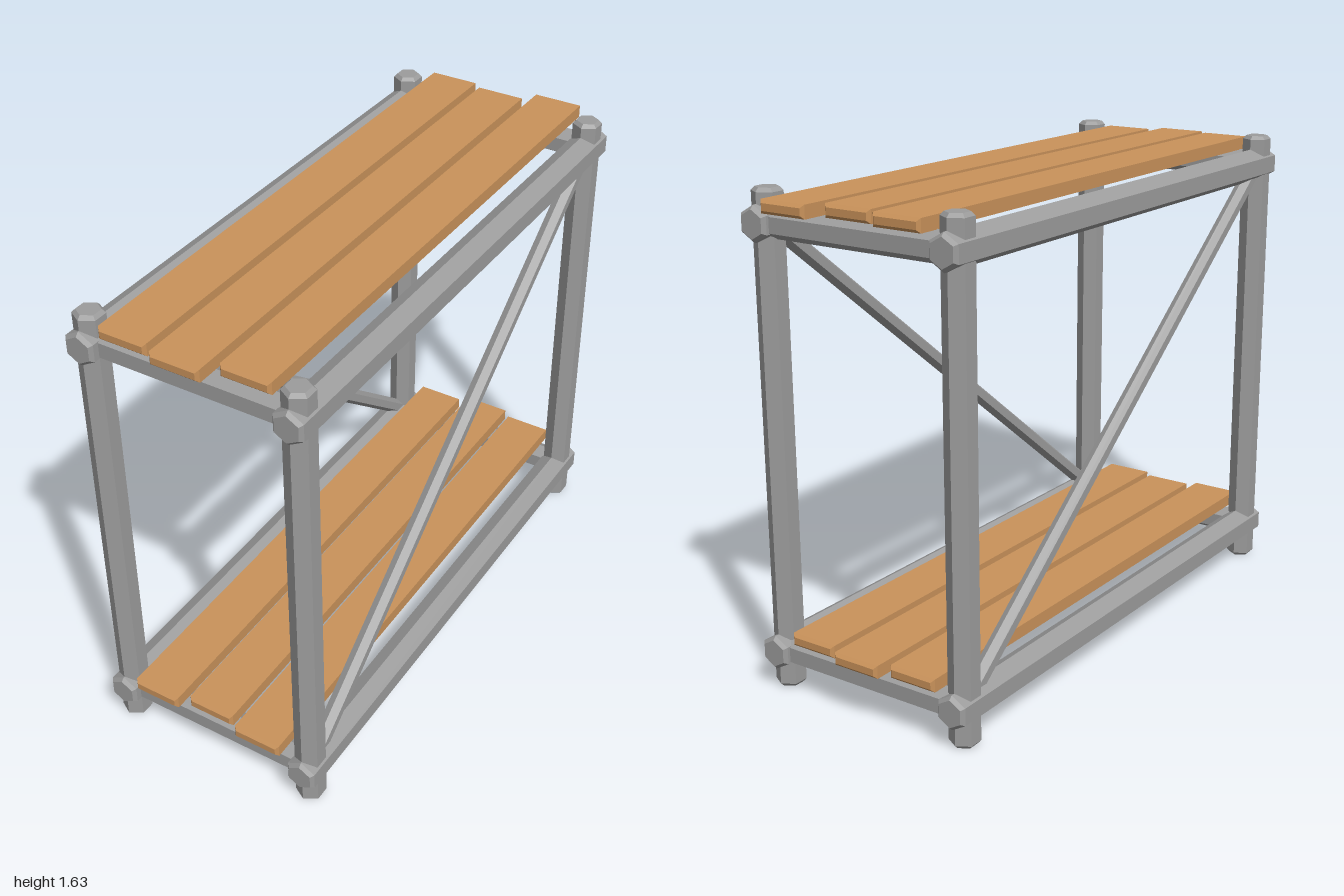
import * as THREE from 'three';

const steel = new THREE.MeshStandardMaterial({ color: 0x9c9c9c });
steel.name = 'grey steel';
const wood = new THREE.MeshStandardMaterial({ color: 0xc9925a });
wood.name = 'orange wood';

const POST_X = 0.355, FRONT_Z = 0.927, BACK_Z = -0.878;
const LEVELS = [0.13, 1.53];
const UP = new THREE.Vector3(0, 1, 0), FRONT = new THREE.Vector3(0, 0, 1);

function facet(geometry) {
  const flat = geometry.toNonIndexed();
  flat.computeVertexNormals();
  return flat;
}

// Hexagonal bar with chamfered ends from a to b; one edge points towards "ridge"
function hexBar(name, a, b, radius, ridge) {
  const start = new THREE.Vector3(...a);
  const dir = new THREE.Vector3(...b).sub(start);
  const length = dir.length(), c = 0.012;
  dir.normalize();
  const profile = [[0, 0], [radius - c, 0], [radius, c], [radius, length - c], [radius - c, length], [0, length]]
    .map(([x, y]) => new THREE.Vector2(x, y));
  const mesh = new THREE.Mesh(facet(new THREE.LatheGeometry(profile, 6)), steel);
  const side = new THREE.Vector3().crossVectors(dir, ridge).normalize();
  const edge = new THREE.Vector3().crossVectors(side, dir);
  mesh.quaternion.setFromRotationMatrix(new THREE.Matrix4().makeBasis(side, dir, edge));
  mesh.position.copy(start);
  mesh.name = name;
  return mesh;
}

// Board with chamfered edges all round
function plank(x, y, z0, length) {
  const c = 0.01, w = 0.17 / 2 - c, h = 0.043 / 2 - c;
  const section = new THREE.Shape([[-w, -h], [w, -h], [w, h], [-w, h]].map(([u, v]) => new THREE.Vector2(u, v)));
  const geometry = new THREE.ExtrudeGeometry(section, {
    depth: length - 2 * c, bevelEnabled: true, bevelSize: c, bevelThickness: c, bevelSegments: 1,
  });
  const mesh = new THREE.Mesh(geometry, wood);
  mesh.position.set(x, y, z0 + c);
  mesh.name = 'plank';
  return mesh;
}

export function createModel() {
  const model = new THREE.Group();
  model.name = 'shelfRack';

  for (const s of [-1, 1]) {
    const x = s * POST_X;
    // Upright posts
    model.add(hexBar('frontPost', [x, 0, FRONT_Z], [x, 1.635, FRONT_Z], 0.05, FRONT));
    model.add(hexBar('backPost', [x, 0, BACK_Z], [x, 1.635, BACK_Z], 0.05, FRONT));
    // Long side rails running past the posts
    for (const y of LEVELS) model.add(hexBar('sideRail', [x, y, -0.953], [x, y, 0.993], 0.058, UP));
    // Diagonal brace, sloping the opposite way on each side
    const [low, high] = s > 0 ? [FRONT_Z, BACK_Z] : [BACK_Z, FRONT_Z];
    model.add(hexBar('diagonalBrace', [x, LEVELS[0], low], [x, LEVELS[1], high], 0.029, UP));
  }

  // Short cross rails under the planks
  for (const y of LEVELS) {
    for (const z of [FRONT_Z - 0.01, BACK_Z - 0.01]) {
      model.add(hexBar('crossRail', [-POST_X, y, z], [POST_X, y, z], 0.05, UP));
    }
  }

  // Three planks per shelf, each shifted a little lengthways
  const backEnds = [[-0.95, -0.98, -0.95], [-0.97, -0.945, -1]];
  LEVELS.forEach((level, i) => {
    const shelf = new THREE.Group();
    shelf.name = i ? 'topShelf' : 'bottomShelf';
    [-0.207, -0.009, 0.19].forEach((x, j) => shelf.add(plank(x, level + 0.0695, backEnds[i][j], 1.945)));
    model.add(shelf);
  });

  return model;
}
